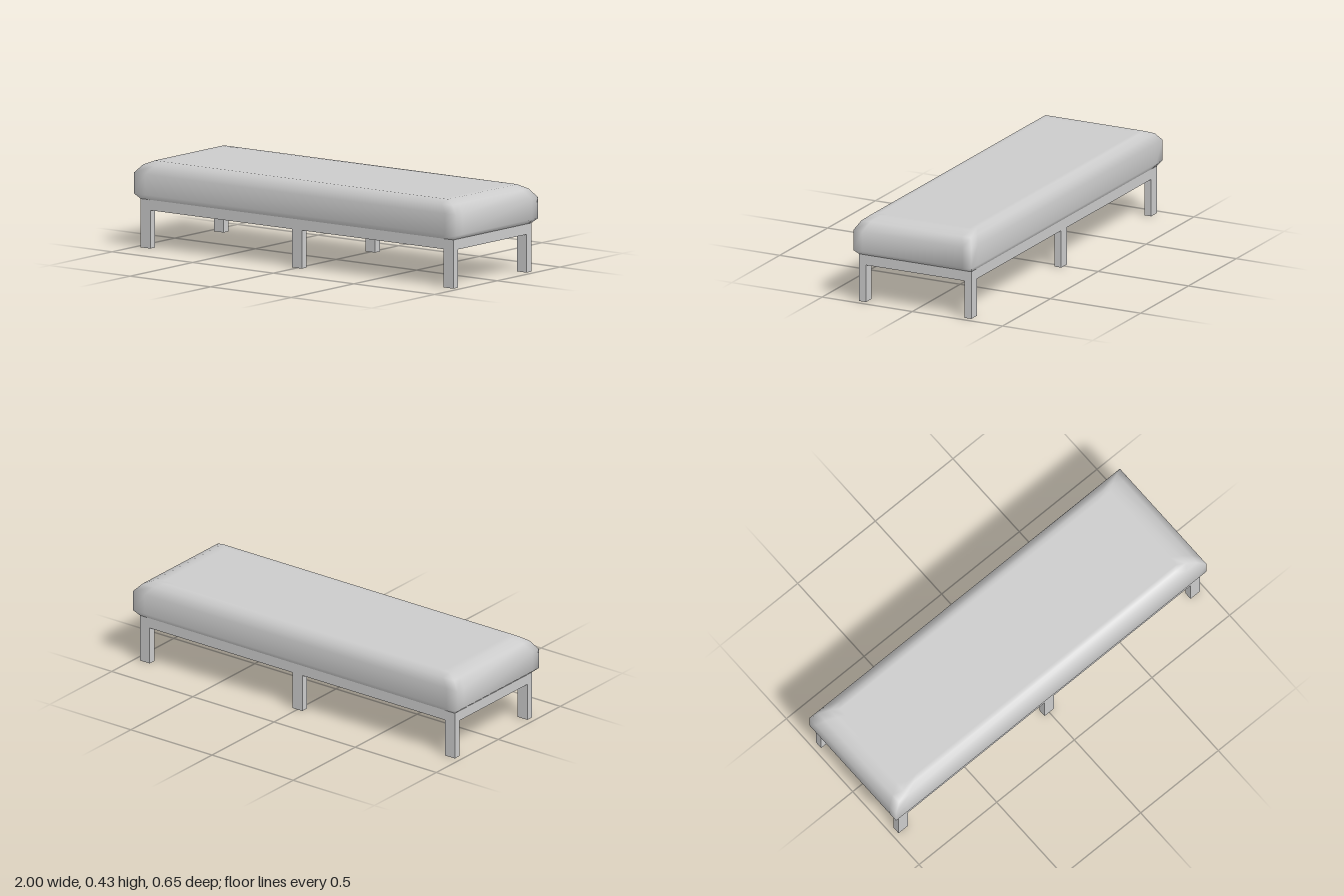
import * as THREE from 'three';

const material = new THREE.MeshStandardMaterial({ color: 0xcccccc });

const FRAME_X = 0.97, FRAME_Z = 0.311, FRAME_TOP = 0.242, RAIL_BOTTOM = 0.19;
const LEG_X = 0.06, LEG_Z = 0.038;

// Rectangular loop, counter-clockwise from above, with support points beside each corner
function loop(hx, hz, y) {
  const dx = 0.07, dz = 0.05, points = [];
  for (const [sx, sz] of [[1, 1], [1, -1], [-1, -1], [-1, 1]]) {
    const beforeCorner = [sx * (hx - dx), y, sz * hz];
    const afterCorner = [sx * hx, y, sz * (hz - dz)];
    const corner = [sx * hx, y, sz * hz];
    if (sx === sz) points.push(beforeCorner, corner, afterCorner);
    else points.push(afterCorner, corner, beforeCorner);
  }
  return points;
}

// Padded cushion lofted through stacked loops: half width, half depth, height
function cushionGeometry() {
  const profile = [
    [0.97, 0.311, 0.242],
    [1.0, 0.327, 0.267],
    [1.0, 0.327, 0.37],
    [0.96, 0.303, 0.412],
    [0.91, 0.275, 0.433],
    [0.87, 0.25, 0.433],
  ];
  const points = profile.flatMap((p) => loop(...p));
  const index = [], n = 12;
  for (let i = 0; i < profile.length - 1; i++) {
    for (let j = 0; j < n; j++) {
      const k = (j + 1) % n;
      const a = i * n + j, b = i * n + k;
      index.push(a, b, b + n, a, b + n, a + n);
    }
  }
  // Top panel, sharing its rim
  const rim = (profile.length - 1) * n;
  const topCentre = points.push([0, 0.433, 0]) - 1;
  // Flat underside, with its own rim for a hard edge
  const base = points.length;
  points.push(...loop(...profile[0]));
  const baseCentre = points.push([0, FRAME_TOP, 0]) - 1;
  for (let j = 0; j < n; j++) {
    const k = (j + 1) % n;
    index.push(topCentre, rim + j, rim + k);
    index.push(baseCentre, base + k, base + j);
  }
  const geometry = new THREE.BufferGeometry();
  geometry.setAttribute('position', new THREE.Float32BufferAttribute(points.flat(), 3));
  geometry.setIndex(index);
  geometry.computeVertexNormals();
  return geometry;
}

// Rectangular rail frame, open in the middle
function frameGeometry() {
  const rectangle = (Type, x, z) => new Type([
    new THREE.Vector2(-x, -z), new THREE.Vector2(x, -z),
    new THREE.Vector2(x, z), new THREE.Vector2(-x, z),
  ]);
  const shape = rectangle(THREE.Shape, FRAME_X, FRAME_Z);
  shape.holes.push(rectangle(THREE.Path, FRAME_X - LEG_X, FRAME_Z - LEG_Z));
  const geometry = new THREE.ExtrudeGeometry(shape, { depth: FRAME_TOP - RAIL_BOTTOM, bevelEnabled: false });
  geometry.rotateX(-Math.PI / 2);
  geometry.translate(0, RAIL_BOTTOM, 0);
  return geometry;
}

export function createModel() {
  const group = new THREE.Group();
  group.name = 'bench';
  const add = (name, geometry) => {
    const mesh = new THREE.Mesh(geometry, material);
    mesh.name = name;
    group.add(mesh);
    return mesh;
  };

  add('cushion', cushionGeometry());
  add('railFrame', frameGeometry());

  // Six legs: a pair at each end and a pair in the middle
  const leg = new THREE.BoxGeometry(LEG_X, RAIL_BOTTOM, LEG_Z);
  for (const [zName, sz] of [['front', 1], ['back', -1]]) {
    for (const [xName, sx] of [['Left', 1], ['Middle', 0], ['Right', -1]]) {
      add(`${zName}${xName}Leg`, leg).position.set(
        sx * (FRAME_X - LEG_X / 2), RAIL_BOTTOM / 2, sz * (FRAME_Z - LEG_Z / 2));
    }
  }
  return group;
}
